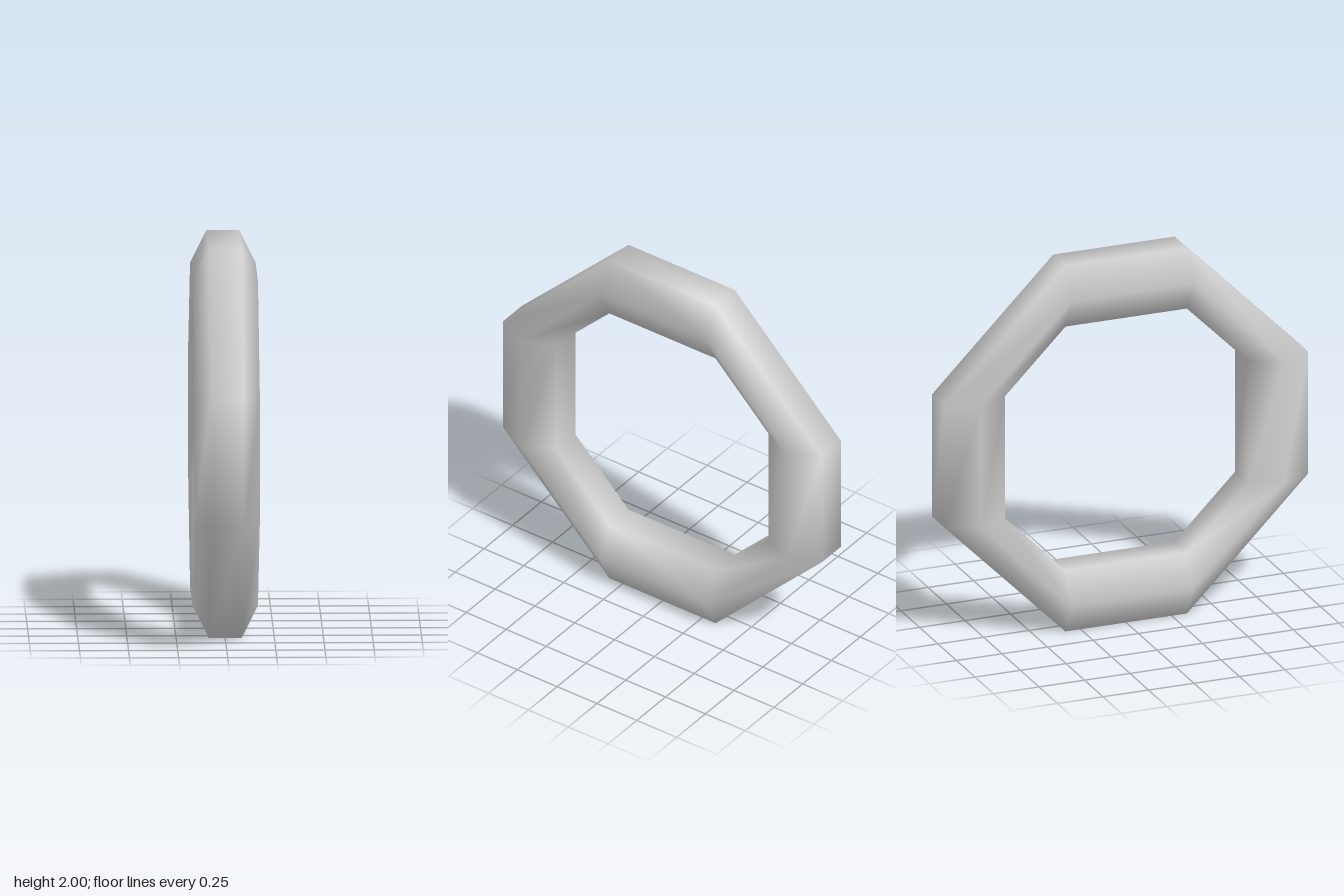
import * as THREE from 'three';

// Octagonal ring in the YZ plane with a smooth-shaded hexagonal tube section.
export function createModel() {
  const group = new THREE.Group();
  group.name = 'octagonalRing';

  // Hexagon section as [x, outward offset], flat sides facing in and out
  const a = 1 / 12, b = 1 / 6;
  const section = [[-a, b], [a, b], [b, 0], [a, -b], [-a, -b], [-b, 0]];

  // Ring corners: two per side, each section squared to the vertical or horizontal
  const positions = [];
  const reach = 5 / 6, half = 1 / 3;
  for (let side = 0; side < 4; side++) {
    const angle = side * Math.PI / 2;
    const c = Math.round(Math.cos(angle)), s = Math.round(Math.sin(angle));
    for (const along of [-half, half]) {
      for (const [x, out] of section) {
        const r = reach + out;
        positions.push(x, 1 + r * s + along * c, r * c - along * s);
      }
    }
  }

  // Join neighbouring sections into a closed loop
  const index = [];
  const rings = 8, n = section.length;
  for (let i = 0; i < rings; i++) {
    for (let j = 0; j < n; j++) {
      const i2 = (i + 1) % rings, j2 = (j + 1) % n;
      const p = i * n + j, q = i * n + j2, u = i2 * n + j2, v = i2 * n + j;
      index.push(p, q, u, p, u, v);
    }
  }

  const geometry = new THREE.BufferGeometry();
  geometry.setAttribute('position', new THREE.Float32BufferAttribute(positions, 3));
  geometry.setIndex(index);
  geometry.computeVertexNormals();

  const ring = new THREE.Mesh(geometry, new THREE.MeshStandardMaterial({ color: 0xcccccc }));
  ring.name = 'ring';
  group.add(ring);
  return group;
}
